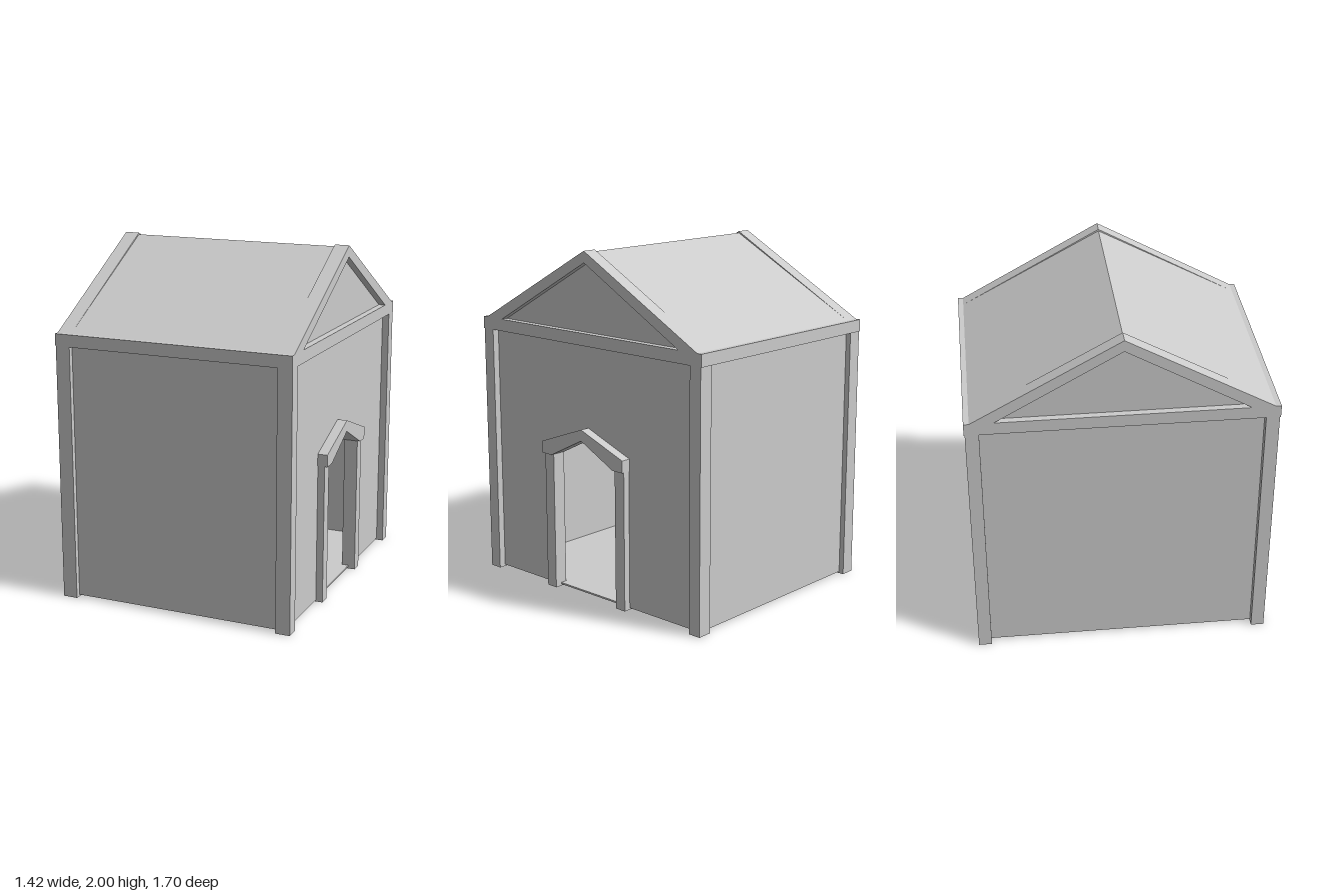
import * as THREE from 'three';

export function createModel() {
  const group = new THREE.Group();
  const mat = new THREE.MeshStandardMaterial({ color: 0xcccccc, flatShading: true, side: THREE.DoubleSide });

  const add = (name, geo) => {
    const mesh = new THREE.Mesh(geo, mat);
    mesh.name = name;
    group.add(mesh);
  };
  // Box given by its limits on each axis
  const box = (name, x0, x1, y0, y1, z0, z1) =>
    add(name, new THREE.BoxGeometry(x1 - x0, y1 - y0, z1 - z0)
      .translate((x0 + x1) / 2, (y0 + y1) / 2, (z0 + z1) / 2));
  // Outline of [z, y] points, extruded along x from x0 to x1
  const toVectors = (pts) => pts.map(([z, y]) => new THREE.Vector2(-z, y));
  const profile = (name, pts, x0, x1, hole) => {
    const shape = new THREE.Shape(toVectors(pts));
    if (hole) shape.holes.push(new THREE.Path(toVectors(hole)));
    add(name, new THREE.ExtrudeGeometry(shape, { depth: x1 - x0, bevelEnabled: false })
      .rotateY(Math.PI / 2).translate(x0, 0, 0));
  };

  const L = -0.71, R = 0.69, post = 0.085, recess = 0.04;
  const wallL = L + recess, wallR = R - recess, wallT = 0.04;
  const wallZ = 0.815, eave = 1.545, beamY = 1.475;

  // Floor
  box('floor', wallL, wallR, 0.01, 0.02, -wallZ, wallZ);

  // Corner posts, long walls and eave beams
  for (const s of [-1, 1]) {
    const span = (a, b) => [Math.min(s * a, s * b), Math.max(s * a, s * b)];
    box('cornerPost', L, L + post, 0, beamY, ...span(0.77, 0.845));
    box('cornerPost', R - post, R, 0, beamY, ...span(0.77, 0.845));
    box('longWall', wallL, wallR, 0.01, 1.52, ...span(wallZ - wallT, wallZ));
    box('eaveBeam', L, R, beamY, eave, ...span(0.77, 0.85));
  }

  // Gable walls; the one on the +x side has the doorway cut out
  const gable = [[-wallZ, 0.01], [wallZ, 0.01], [wallZ, 1.52], [0, 1.96], [-wallZ, 1.52]];
  profile('backGableWall', gable, wallL, wallL + wallT);
  profile('doorGableWall',
    [[-wallZ, 0.01], [-0.22, 0.01], [-0.22, 0.81], [0.025, 0.935], [0.27, 0.81], [0.27, 0.01],
      [wallZ, 0.01], [wallZ, 1.52], [0, 1.96], [-wallZ, 1.52]],
    wallR - wallT, wallR);

  // Triangular gable frames: tie beam and two rafters
  const frame = [[-0.845, beamY], [0.845, beamY], [0.845, eave], [0.82, eave], [0, 2], [-0.82, eave], [-0.845, eave]];
  const opening = [[-0.69, eave], [0.69, eave], [0, 1.935]];
  profile('gableFrame', frame, L, L + post, opening);
  profile('gableFrame', frame, R - post, R, opening);

  // Roof slab between the frames, flush with the eaves
  profile('roof', [[0.82, eave], [0, 1.99], [-0.82, eave], [-0.76, eave], [0, 1.955], [0.76, eave]],
    L + post, R - post);

  // Door surround: two posts and a pointed hood
  box('doorPost', R - 0.08, R, 0, 0.83, 0.27, 0.34);
  box('doorPost', R - 0.08, R, 0, 0.83, -0.29, -0.22);
  profile('doorHood',
    [[0.345, 0.81], [0.345, 0.88], [0.025, 1], [-0.295, 0.88], [-0.295, 0.81], [-0.22, 0.81], [0.025, 0.935], [0.27, 0.81]],
    R - 0.09, 0.707);

  return group;
}
